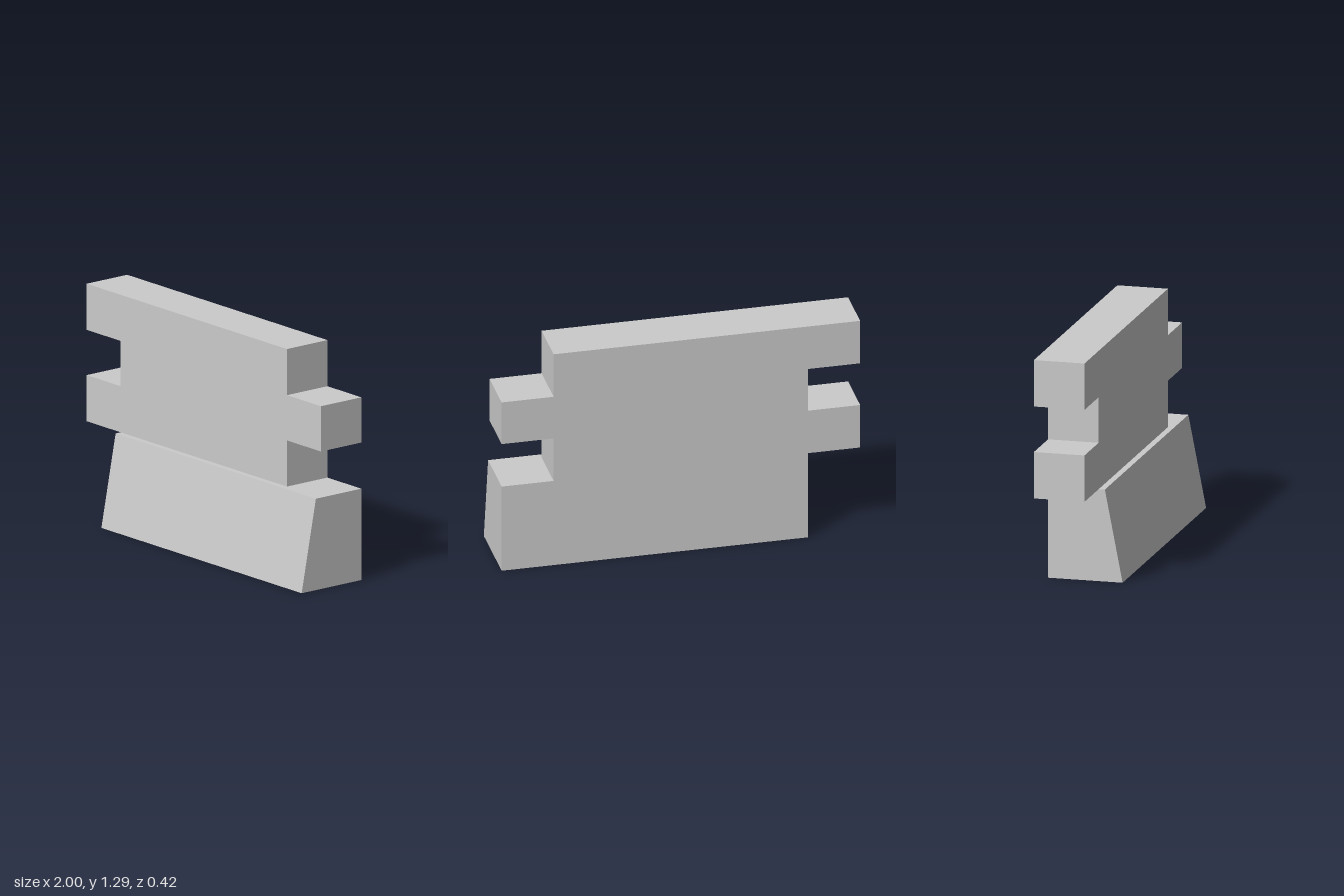
import * as THREE from 'three';

const material = new THREE.MeshStandardMaterial({ color: 0xcccccc, side: THREE.DoubleSide, flatShading: true });

// Wall thickness, base depth and main levels
const BACK = -0.21, WALL = 0.075, LEDGE = 0.11, FOOT = 0.21;
const BASE = 0.515, MID = 0.775, HIGH = 1.03, TOP = 1.29;
const CORE = 0.71, END = 1;

// Mesh from four-cornered faces, corners counter-clockwise from outside
function quadMesh(name, quads) {
  const positions = quads.flatMap(([a, b, c, d]) => [a, b, c, a, c, d].flat());
  const geometry = new THREE.BufferGeometry();
  geometry.setAttribute('position', new THREE.Float32BufferAttribute(positions, 3));
  geometry.computeVertexNormals();
  const mesh = new THREE.Mesh(geometry, material);
  mesh.name = name;
  return mesh;
}

// Toothed wall: two outline faces joined by a rim that is open over the base
function createWall() {
  const wall = new THREE.Group();
  wall.name = 'toothedWall';
  const outline = [
    [CORE, BASE], [CORE, MID], [END, MID], [END, HIGH], [CORE, HIGH], [CORE, TOP],
    [-END, TOP], [-END, HIGH], [-CORE, HIGH], [-CORE, MID], [-END, MID], [-END, BASE], [-CORE, BASE],
  ];
  const shape = new THREE.Shape(outline.map(([x, y]) => new THREE.Vector2(x, y)));

  const front = new THREE.Mesh(new THREE.ShapeGeometry(shape), material);
  front.name = 'wallFront';
  front.position.z = WALL;

  const mirrored = new THREE.Shape(outline.map(([x, y]) => new THREE.Vector2(-x, y)).reverse());
  const back = new THREE.Mesh(new THREE.ShapeGeometry(mirrored), material);
  back.name = 'wallBack';
  back.rotation.y = Math.PI;
  back.position.z = BACK;

  const rim = outline.slice(1).map(([x, y], i) => {
    const [px, py] = outline[i];
    return [[px, py, WALL], [px, py, BACK], [x, y, BACK], [x, y, WALL]];
  });
  wall.add(front, back, quadMesh('wallRim', rim));
  return wall;
}

// Sloped base, open underneath, with a ledge in front of and beside the wall
function createBase() {
  const L = -CORE, R = END;
  return quadMesh('slopedBase', [
    [[L, 0, FOOT], [R, 0, FOOT], [R, BASE, LEDGE], [L, BASE, LEDGE]],
    [[R, 0, BACK], [L, 0, BACK], [L, BASE, BACK], [R, BASE, BACK]],
    [[R, 0, FOOT], [R, 0, BACK], [R, BASE, BACK], [R, BASE, LEDGE]],
    [[L, 0, BACK], [L, 0, FOOT], [L, BASE, LEDGE], [L, BASE, BACK]],
    [[L, BASE, LEDGE], [CORE, BASE, LEDGE], [CORE, BASE, WALL], [L, BASE, WALL]],
    [[CORE, BASE, LEDGE], [R, BASE, LEDGE], [R, BASE, BACK], [CORE, BASE, BACK]],
  ]);
}

export function createModel() {
  const model = new THREE.Group();
  model.name = 'wallSection';
  model.add(createWall(), createBase());
  return model;
}
